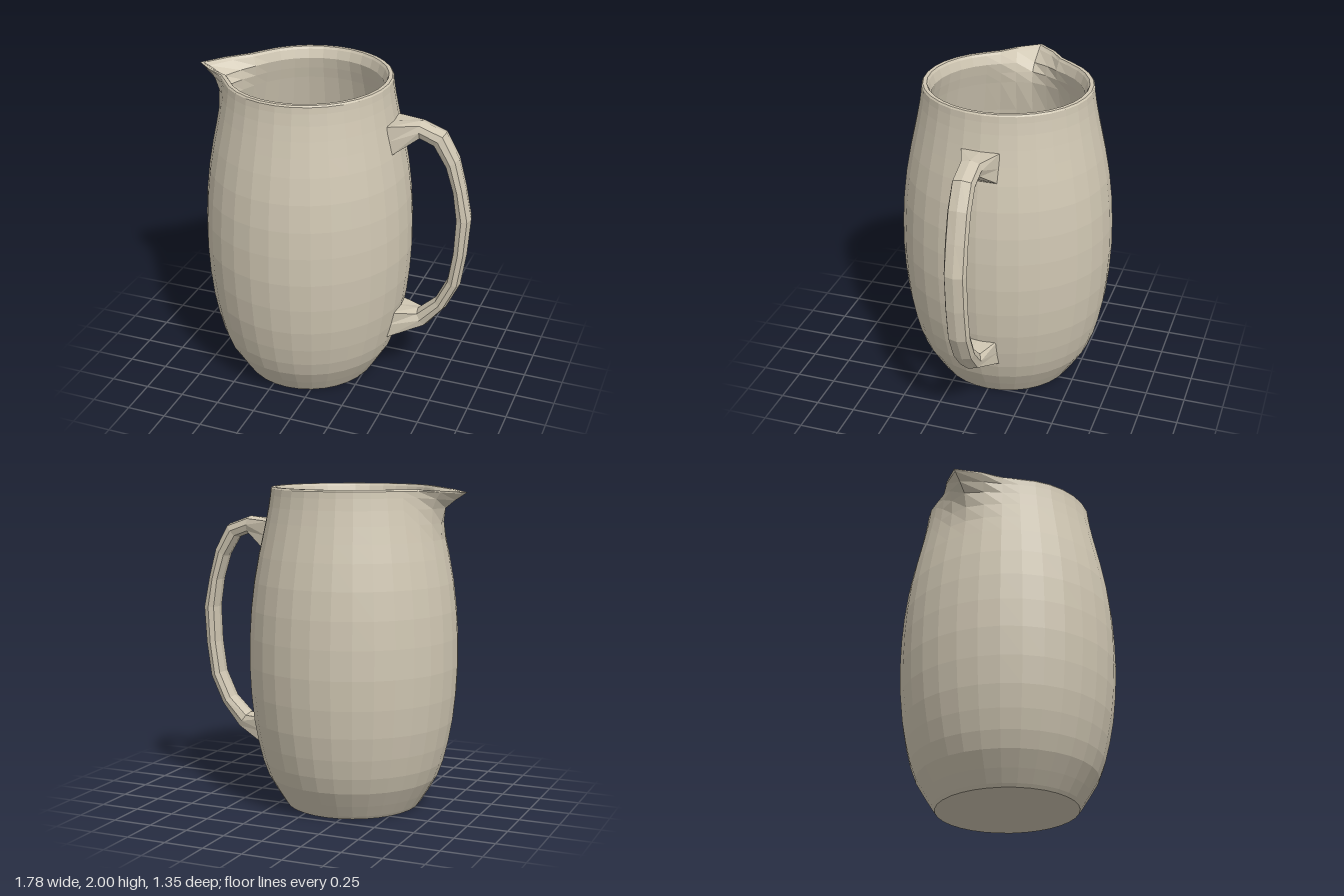
import * as THREE from 'three';

const SEGMENTS = 32;
const CENTER_X = -0.155; // body axis, offset to leave room for the handle
const SQUASH_X = 0.97;   // body is slightly narrower along x

// Closed profile: base, outer wall, rim, inner wall, inner floor
const PROFILE = [
  [0, 0], [0.435, 0], [0.45, 0.02], [0.498, 0.095], [0.555, 0.19], [0.592, 0.29],
  [0.622, 0.41], [0.648, 0.55], [0.666, 0.72], [0.675, 0.9], [0.672, 1.08],
  [0.661, 1.25], [0.64, 1.42], [0.61, 1.58], [0.585, 1.69], [0.563, 1.79],
  [0.545, 1.88], [0.534, 1.95], [0.53, 1.99], [0.522, 2],
  [0.498, 2], [0.488, 1.985], [0.47, 1.93], [0.485, 1.86], [0.503, 1.79],
  [0.55, 1.58], [0.6, 1.25], [0.612, 0.9], [0.59, 0.55], [0.53, 0.26],
  [0.46, 0.12], [0.28, 0.08], [0, 0.07],
];

// How far the spout pulls the wall out at each height
function spoutPull(y) {
  const t = THREE.MathUtils.clamp((y - 1.66) / 0.34, 0, 1);
  return 0.06 * t + 0.17 * Math.pow(t, 4);
}

function createBody(material) {
  const geometry = new THREE.LatheGeometry(
    PROFILE.map(([r, y]) => new THREE.Vector2(r, y)), SEGMENTS);
  const pos = geometry.attributes.position;
  const falloff = [1, 0.5, 0.09];
  for (let i = 0; i < pos.count; i++) {
    let x = pos.getX(i), y = pos.getY(i), z = pos.getZ(i);
    const r = Math.hypot(x, z);
    // Pinch the columns nearest -x outward into a pointed spout
    if (y > 1.66 && r > 0.1) {
      const step = Math.round(Math.abs(Math.atan2(z, -x)) / (2 * Math.PI / SEGMENTS));
      const weight = falloff[step] ?? 0;
      const scale = 1 + weight * spoutPull(y) / r;
      x *= scale;
      z *= scale;
      if (y > 1.9) y -= 0.022 * weight;
    }
    pos.setXYZ(i, CENTER_X + x * SQUASH_X, y, z);
  }
  geometry.computeVertexNormals();
  const body = new THREE.Mesh(geometry, material);
  body.name = 'jugBody';
  return body;
}

// Handle stations: outer x, y, inner x, y, half width, square corners (1) or bevelled (0)
const HANDLE = [
  [0.385, 1.775, 0.41, 1.59, 0.118, 1],
  [0.565, 1.8, 0.57, 1.69, 0.07, 0],
  [0.72, 1.745, 0.65, 1.66, 0.07, 0],
  [0.805, 1.59, 0.73, 1.535, 0.07, 0],
  [0.855, 1.4, 0.78, 1.38, 0.07, 0],
  [0.898, 1.2, 0.805, 1.2, 0.07, 0],
  [0.882, 0.96, 0.797, 0.97, 0.07, 0],
  [0.85, 0.74, 0.768, 0.77, 0.07, 0],
  [0.765, 0.56, 0.695, 0.615, 0.07, 0],
  [0.645, 0.41, 0.58, 0.51, 0.07, 0],
  [0.405, 0.32, 0.41, 0.505, 0.125, 1],
];

function createHandle(material) {
  const positions = [], indices = [];
  for (const [ox, oy, ix, iy, half, square] of HANDLE) {
    const cx = (ox + ix) / 2, cy = (oy + iy) / 2;
    const nx = (ox - ix) / 2, ny = (oy - iy) / 2;
    // Eight-sided section; the odd points are its corners
    for (let j = 0; j < 8; j++) {
      const c = Math.cos(j * Math.PI / 4), s = Math.sin(j * Math.PI / 4);
      const corner = j % 2 === 1;
      const n = corner ? Math.sign(c) * (square ? 1 : 0.72) : c;
      const w = corner ? Math.sign(s) * (square ? 1 : 0.8) : s;
      positions.push(cx + nx * n, cy + ny * n, half * w);
    }
  }
  for (let i = 0; i < HANDLE.length - 1; i++) {
    for (let j = 0; j < 8; j++) {
      const a = i * 8 + j, b = i * 8 + (j + 1) % 8;
      indices.push(a, b, a + 8, b, b + 8, a + 8);
    }
  }
  // End caps, sunk into the body wall
  const last = (HANDLE.length - 1) * 8;
  for (let j = 1; j < 7; j++) {
    indices.push(0, j + 1, j, last, last + j, last + j + 1);
  }
  const geometry = new THREE.BufferGeometry();
  geometry.setAttribute('position', new THREE.Float32BufferAttribute(positions, 3));
  geometry.setIndex(indices);
  geometry.computeVertexNormals();
  const handle = new THREE.Mesh(geometry, material);
  handle.name = 'handle';
  return handle;
}

export function createModel() {
  const clay = new THREE.MeshStandardMaterial({ color: 0xcfc6b2 });
  clay.name = 'paleClay';
  clay.flatShading = true;
  const jug = new THREE.Group();
  jug.name = 'jug';
  jug.add(createBody(clay), createHandle(clay));
  return jug;
}
